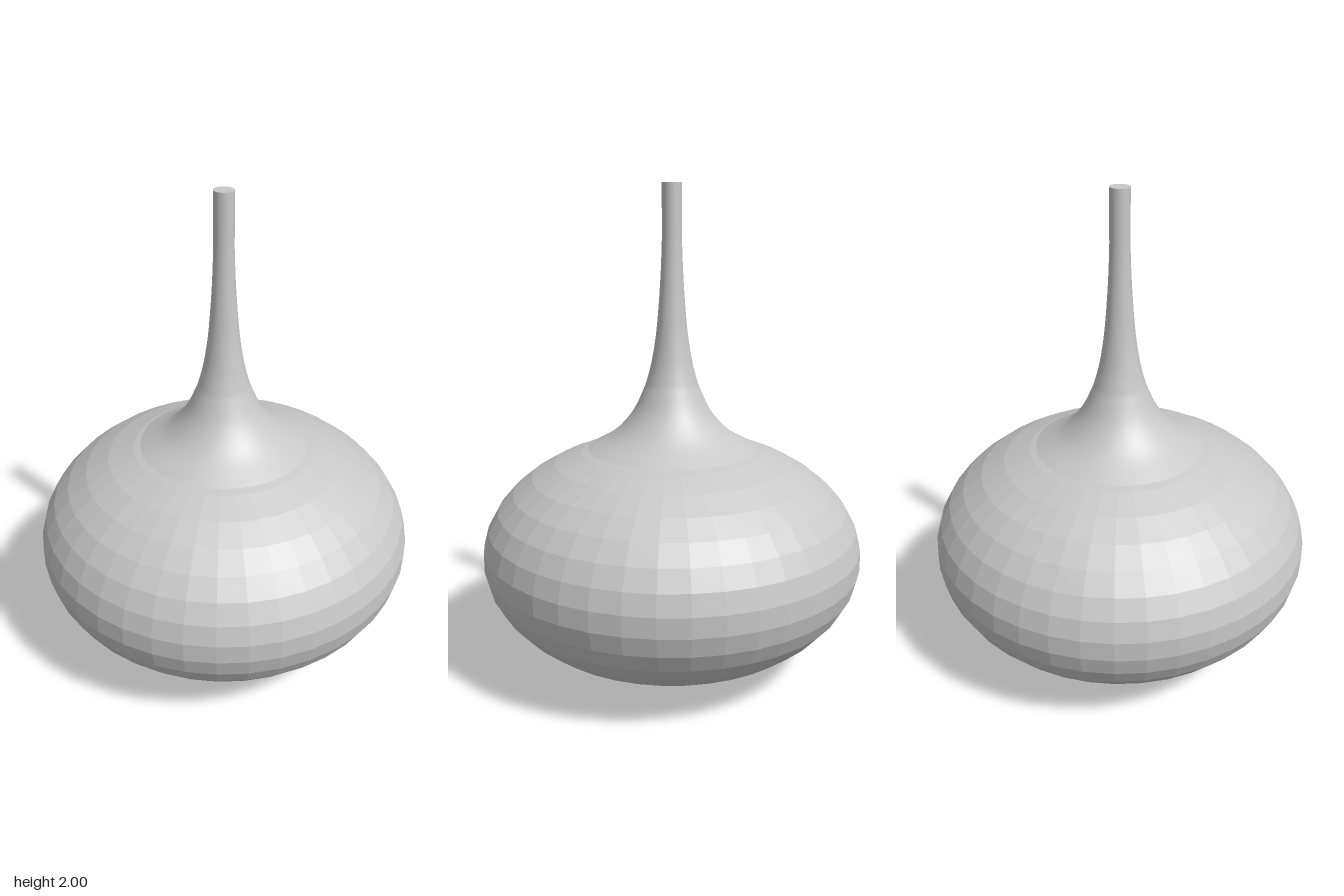
import * as THREE from 'three';

export function createModel() {
  const group = new THREE.Group();
  const grey = new THREE.MeshStandardMaterial({ color: 0xc8c8c8 });
  grey.name = 'light grey';
  const add = (name, geometry) => {
    const mesh = new THREE.Mesh(geometry, grey);
    mesh.name = name;
    group.add(mesh);
    return mesh;
  };

  // Faceted, squashed round body
  const bodyGeometry = new THREE.SphereGeometry(1, 40, 19)
    .scale(0.793, 0.49, 0.793)
    .translate(0, 0.49, 0)
    .toNonIndexed();
  bodyGeometry.computeVertexNormals();
  add('body', bodyGeometry);

  // Smooth flared neck: concave foot, then a slow taper into a straight tube
  const foot = new THREE.SplineCurve([
    [0.35, 0.935], [0.24, 1.0], [0.16, 1.09], [0.108, 1.2],
  ].map(([r, y]) => new THREE.Vector2(r, y)));
  const taper = new THREE.SplineCurve([
    [0.108, 1.2], [0.084, 1.29], [0.063, 1.42], [0.048, 1.6], [0.041, 1.75], [0.04, 1.83], [0.04, 2],
  ].map(([r, y]) => new THREE.Vector2(r, y)));
  const profile = [...foot.getPoints(16), ...taper.getPoints(30).slice(1)];
  add('neck', new THREE.LatheGeometry(profile, 64));

  // Flat end of the neck, and the underside of its flared foot
  add('neckTop', new THREE.CircleGeometry(0.04, 64).rotateX(-Math.PI / 2).translate(0, 2, 0));
  add('neckUnderside', new THREE.CircleGeometry(0.35, 64).rotateX(Math.PI / 2).translate(0, 0.935, 0));

  return group;
}
